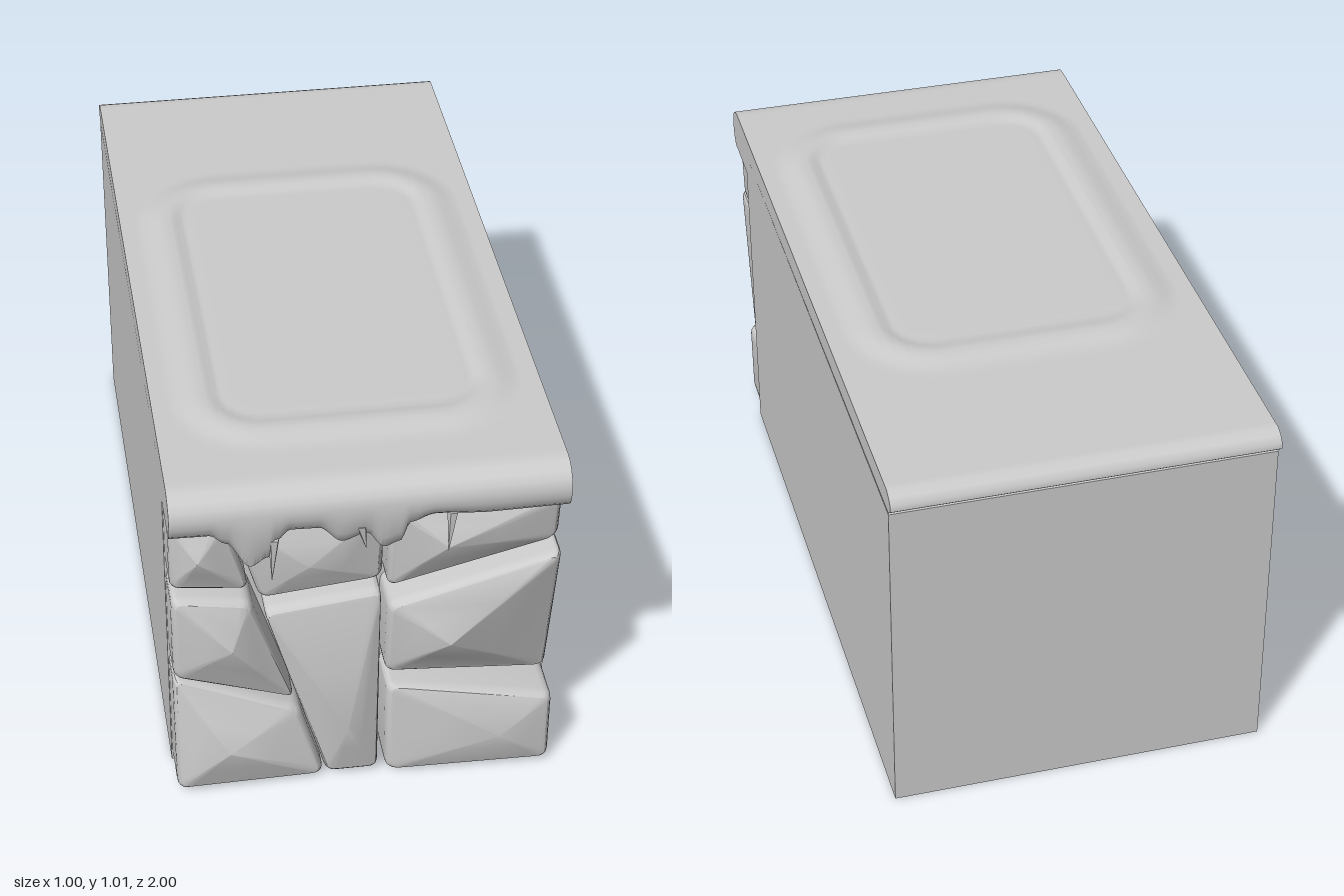
import * as THREE from 'three';
import { toCreasedNormals } from 'three/addons/utils/BufferGeometryUtils.js';

const stoneGrey = new THREE.MeshStandardMaterial({ color: 0xcccccc });
stoneGrey.name = 'stone grey';

const { smoothstep, lerp } = THREE.MathUtils;

function build(name, positions, indices, crease) {
  const geo = new THREE.BufferGeometry();
  geo.setAttribute('position', new THREE.Float32BufferAttribute(positions, 3));
  geo.setIndex(indices);
  const mesh = new THREE.Mesh(toCreasedNormals(geo, crease), stoneGrey);
  mesh.name = name;
  return mesh;
}

// Height of the top: a soft raised rim around a shallow rounded panel
function topHeight(x, z) {
  const r = 0.1;
  const qx = Math.abs(x) - 0.315 + r, qz = Math.abs(z - 0.145) - 0.525 + r;
  const d = Math.hypot(Math.max(qx, 0), Math.max(qz, 0)) + Math.min(Math.max(qx, qz), 0) - r;
  return 1 + 0.004 * (1 - smoothstep(d, -0.01, 0.02))
    + 0.013 * smoothstep(d, -0.005, 0.05) * (1 - smoothstep(d, 0.06, 0.14));
}

// Lower edge of the dripping lip, as x, y pairs
const drips = [[-0.5, 0.875], [-0.4, 0.873], [-0.36, 0.845], [-0.3, 0.765], [-0.255, 0.79], [-0.235, 0.84],
  [-0.2, 0.87], [-0.13, 0.868], [-0.07, 0.82], [-0.01, 0.84], [0.035, 0.79], [0.075, 0.805],
  [0.1, 0.86], [0.16, 0.88], [0.3, 0.87], [0.5, 0.872]];

function dripEdge(x) {
  let i = 0;
  while (i < drips.length - 2 && x > drips[i + 1][0]) i++;
  const [x0, y0] = drips[i], [x1, y1] = drips[i + 1];
  return lerp(y0, y1, smoothstep(x, x0, x1));
}

// Cross-section of the cap at x, as z, y pairs from back to front and back underneath
function capSection(x) {
  const b = dripEdge(x), p = [[-0.978, 0.94], [-1, 0.958], [-1, 0.975], [-0.985, 0.99]];
  for (let k = 0; k <= 90; k++) {
    const z = lerp(-0.965, 0.93, k / 90);
    p.push([z, topHeight(x, z)]);
  }
  p.push([0.955, 0.996], [0.978, 0.983], [0.993, 0.965], [1, 0.94], [0.998, lerp(0.94, b, 0.35)],
    [0.991, lerp(0.94, b, 0.7)], [0.98, b + 0.008], [0.966, b], [0.95, b + 0.004],
    [0.92, lerp(b, 0.875, 0.8)], [0.81, 0.872], [0.81, 0.935]);
  return p;
}

function makeCap() {
  const columns = 130, pos = [], idx = [];
  const n = capSection(0).length;
  for (let i = 0; i <= columns; i++) {
    const x = i / columns - 0.5;
    for (const [z, y] of capSection(x)) pos.push(x, y, z);
  }
  for (let i = 0; i < columns; i++) {
    for (let j = 0; j < n; j++) {
      const a = i * n + j, b = i * n + (j + 1) % n;
      idx.push(a, b, a + n, b, b + n, a + n);
    }
  }
  // Flat ends
  for (const end of [0, columns]) {
    const pts = capSection(end / columns - 0.5).map(([z, y]) => new THREE.Vector2(z, y));
    for (const [a, b, c] of THREE.ShapeUtils.triangulateShape(pts, [])) {
      const ccw = THREE.ShapeUtils.area([pts[a], pts[b], pts[c]]) > 0;
      const o = end * n;
      if (ccw === (end === 0)) idx.push(o + a, o + b, o + c);
      else idx.push(o + a, o + c, o + b);
    }
  }
  return build('drippingCap', pos, idx, 0.8);
}

// Chiselled stone: rounded outline, bevelled rim and faces rising to an off-centre peak
function makeStone(name, corners, peak) {
  const c = corners.map((v) => new THREE.Vector3(...v)).reverse();
  const top = new THREE.Vector3(...peak);
  const outline = [];
  c.forEach((p, i) => {
    const towards = (q) => p.clone().add(q.clone().sub(p).setLength(0.025));
    const curve = new THREE.QuadraticBezierCurve3(
      towards(c[(i + 3) % 4]), p, towards(c[(i + 1) % 4]));
    outline.push(...curve.getPoints(4));
  });
  const inset = (p, d, dz) => {
    const q = top.clone().sub(p).setZ(0).setLength(d).add(p);
    q.z = p.z + dz;
    return q;
  };
  const rings = [outline.map((p) => new THREE.Vector3(p.x, p.y, 0.805))];
  for (let k = 0; k <= 4; k++) {
    const a = k * Math.PI / 8;
    rings.push(outline.map((p) => inset(p, 0.024 * (1 - Math.cos(a)), 0.03 * (Math.sin(a) - 1))));
  }
  for (const t of [0.5, 1]) rings.push(rings[5].map((p) => p.clone().lerp(top, t)));
  const n = outline.length, pos = [], idx = [];
  for (const ring of rings) for (const p of ring) pos.push(p.x, p.y, p.z);
  for (let k = 0; k < rings.length - 1; k++) {
    for (let i = 0; i < n; i++) {
      const a = k * n + i, b = k * n + (i + 1) % n;
      idx.push(a, b, a + n);
      if (k < rings.length - 2) idx.push(b, b + n, a + n);
    }
  }
  return build(name, pos, idx, 0.42);
}

// Corners run top left, top right, bottom right, bottom left, then the peak
const stones = {
  upperLeftStone: [[[-0.497, 0.88, 0.93], [-0.355, 0.88, 0.94], [-0.295, 0.645, 0.92], [-0.497, 0.665, 0.92]],
    [-0.43, 0.78, 0.965]],
  middleLeftStone: [[[-0.497, 0.655, 0.95], [-0.297, 0.628, 0.95], [-0.178, 0.248, 0.9], [-0.497, 0.388, 0.94]],
    [-0.35, 0.5, 0.985]],
  lowerLeftStone: [[[-0.497, 0.375, 0.92], [-0.17, 0.238, 0.93], [-0.105, 0.01, 0.94], [-0.497, 0.01, 0.95]],
    [-0.36, 0.16, 0.99]],
  upperMiddleStone: [[[-0.345, 0.88, 0.93], [0.045, 0.88, 0.94], [0.045, 0.645, 0.92], [-0.27, 0.61, 0.92]],
    [-0.15, 0.74, 0.965]],
  centreStone: [[[-0.265, 0.595, 0.95], [0.037, 0.632, 0.95], [0.037, 0.01, 0.94], [-0.1, 0.01, 0.94]],
    [-0.05, 0.2, 0.98]],
  upperRightStone: [[[0.06, 0.88, 0.93], [0.493, 0.88, 0.95], [0.493, 0.735, 0.93], [0.06, 0.593, 0.9]],
    [0.2, 0.77, 0.975]],
  middleRightStone: [[[0.055, 0.575, 0.95], [0.493, 0.725, 0.98], [0.493, 0.25, 0.87], [0.055, 0.325, 0.92]],
    [0.21, 0.47, 0.998]],
  lowerRightStone: [[[0.055, 0.308, 0.95], [0.493, 0.237, 0.97], [0.493, 0.01, 0.965], [0.055, 0.01, 0.95]],
    [0.35, 0.13, 0.99]],
};

// Icicle: tip x, top y, tip y, sideways lean
const icicles = [[-0.247, 0.855, 0.72, 0.006], [-0.01, 0.873, 0.797, -0.014], [0.197, 0.893, 0.765, 0.009]];

export function createModel() {
  const model = new THREE.Group();
  model.name = 'stoneBlock';

  const body = new THREE.Mesh(new THREE.BoxGeometry(1, 0.935, 1.788), stoneGrey);
  body.name = 'body';
  body.position.set(0, 0.4675, -0.084);
  model.add(body, makeCap());

  for (const [name, [corners, peak]] of Object.entries(stones)) model.add(makeStone(name, corners, peak));

  icicles.forEach(([x, top, tip, lean]) => {
    const h = top - tip;
    const geo = new THREE.ConeGeometry(0.015, h, 5).rotateX(Math.PI);
    const p = geo.attributes.position;
    for (let i = 0; i < p.count; i++) p.setX(i, p.getX(i) + lean * (p.getY(i) / h + 0.5));
    const icicle = new THREE.Mesh(toCreasedNormals(geo, 0.5), stoneGrey);
    icicle.name = 'icicle';
    icicle.position.set(x, (top + tip) / 2, 0.982);
    model.add(icicle);
  });
  return model;
}
